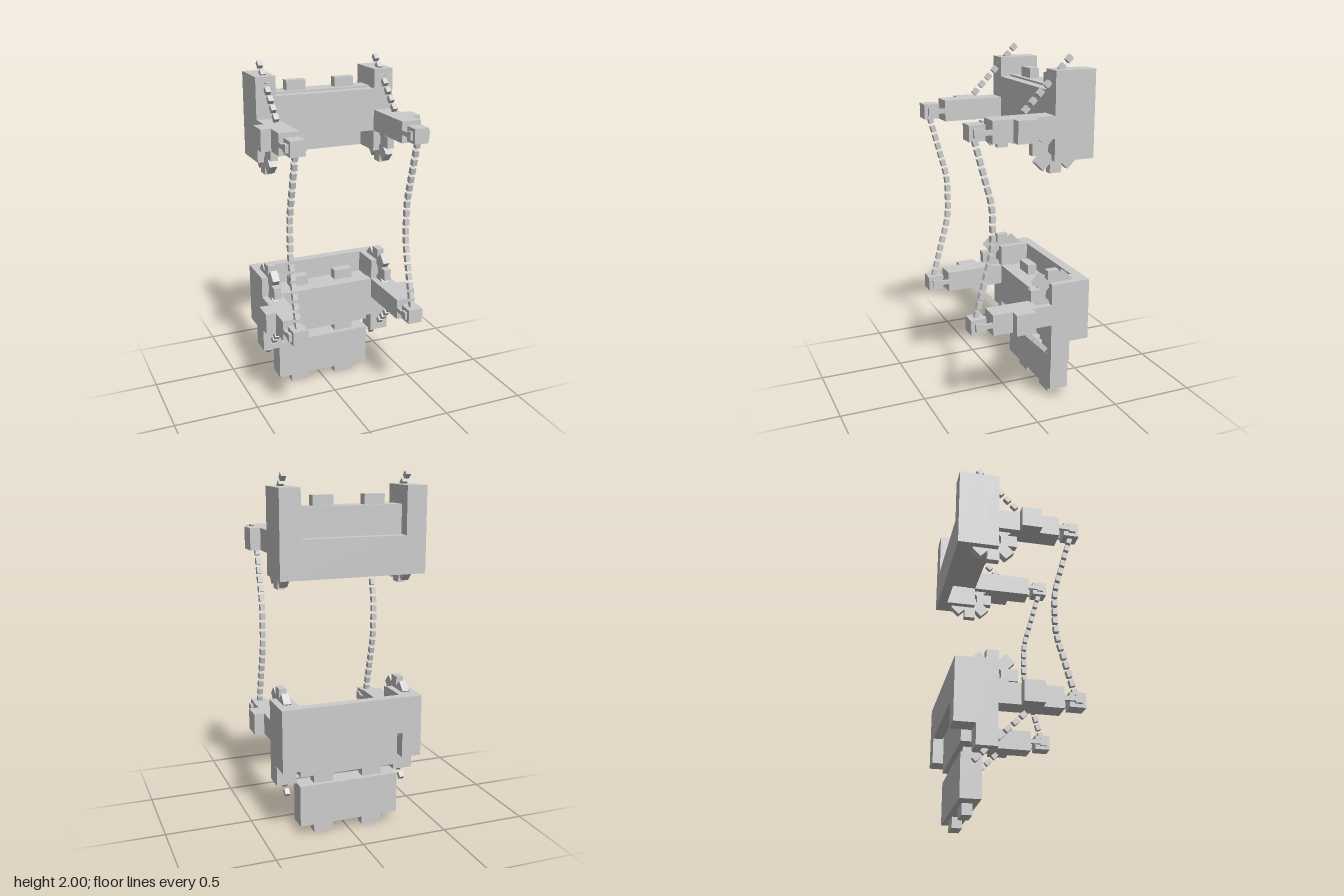
import * as THREE from 'three';

const material = new THREE.MeshStandardMaterial({ color: 0xcccccc, flatShading: true });
const MID = 1.115; // height of the plane between the two frames

// Box given by its limits on each axis
function box(parent, name, [x0, x1], [y0, y1], [z0, z1]) {
  const m = new THREE.Mesh(new THREE.BoxGeometry(x1 - x0, y1 - y0, z1 - z0), material);
  m.position.set((x0 + x1) / 2, (y0 + y1) / 2, (z0 + z1) / 2);
  m.name = name;
  parent.add(m);
}

// Heights given for the upper frame; the lower frame uses them mirrored
const flip = (upper, [a, b]) => (upper ? [a, b] : [2 * MID - b, 2 * MID - a]);
const side = (s, [a, b]) => (s > 0 ? [a, b] : [-b, -a]);

// Toothed wheel of eight overlapping radial blocks
function gear(y) {
  const g = new THREE.Group();
  g.name = 'gear';
  for (let i = 0; i < 8; i++) {
    const a = (i * Math.PI) / 4;
    const tooth = new THREE.Mesh(new THREE.BoxGeometry(0.042, 0.068, 0.09), material);
    tooth.position.set(0, -Math.sin(a) * 0.09, Math.cos(a) * 0.09);
    tooth.rotation.x = a;
    tooth.name = 'gearTooth';
    g.add(tooth);
  }
  g.position.set(0, y, -0.145);
  return g;
}

// Row of small blocks following a path of [z, y] points
function chain(name, points, count, length) {
  const g = new THREE.Group();
  g.name = name;
  const path = new THREE.CatmullRomCurve3(points.map(([z, y]) => new THREE.Vector3(0, y, z)));
  for (let i = 0; i < count; i++) {
    const u = i / (count - 1);
    const t = path.getTangentAt(u);
    const link = new THREE.Mesh(new THREE.BoxGeometry(0.028, 0.028, length), material);
    link.position.copy(path.getPointAt(u));
    link.rotation.x = Math.atan2(-t.y, t.z);
    link.name = 'chainLink';
    g.add(link);
  }
  return g;
}

// Sliding panel with pegs on the chosen edges
function panel(parent, y0, y1, pegRanges) {
  const g = new THREE.Group();
  g.name = 'slidingPanel';
  box(g, 'panelBoard', [-0.292, 0.292], [y0, y1], [-0.29, -0.178]);
  for (const range of pegRanges)
    for (const s of [1, -1]) box(g, 'panelPeg', side(s, [0.088, 0.203]), range, [-0.263, -0.207]);
  parent.add(g);
}

function frame(upper) {
  const g = new THREE.Group();
  g.name = upper ? 'upperFrame' : 'lowerFrame';
  const h = (a, b) => flip(upper, [a, b]);

  // Cross walls
  box(g, 'frontWall', [-0.295, 0.295], h(1.58, 1.82), [-0.18, -0.12]);
  box(g, 'backWall', [-0.295, 0.295], h(1.46, 1.67), [-0.35, -0.295]);

  for (const s of [1, -1]) {
    const w = side(s, [0.295, 0.41]);
    // Side posts; the lower ones are cut away at the bottom rear
    box(g, 'postFront', w, h(1.46, 1.93), [-0.235, -0.12]);
    box(g, 'postBack', w, h(1.46, upper ? 1.93 : 1.815), [-0.35, -0.235]);

    // Arms with an outer block
    box(g, 'arm', w, h(1.58, 1.7), [-0.12, 0.23]);
    box(g, 'armBlock', side(s, [0.41, 0.467]), h(1.58, 1.7), [0, 0.115]);

    // Fork and chain holder at the tip
    for (const p of [[0.295, 0.311], [0.392, 0.41]]) {
      box(g, 'forkBar', side(s, p), h(1.627, 1.653), [0.23, 0.29]);
      box(g, 'forkEnd', side(s, p), h(1.618, 1.662), [0.29, 0.328]);
    }
    box(g, 'chainHolder', side(s, [0.309, 0.393]), h(1.598, 1.682), [0.262, 0.35]);

    const wheel = gear(h(1.525, 1.525)[0]);
    wheel.position.x = s * 0.352;
    g.add(wheel);

    // Slanted chain running through the post
    const y = (v) => h(v, v)[0];
    const slanted = chain('slantedChain', [[0.021, y(1.733)], [-0.222, y(1.98)]], 7, 0.036);
    slanted.position.x = s * 0.35;
    g.add(slanted);
  }
  return g;
}

export function createModel() {
  const model = new THREE.Group();
  model.name = 'chainLift';
  const top = frame(true), bottom = frame(false);
  model.add(top, bottom);

  // Panels held in the frames and the one hanging below
  panel(top, 1.58, 1.83, [[1.83, 1.885]]);
  panel(bottom, 0.355, 0.645, [[0.645, 0.705]]);
  panel(model, 0.06, 0.298, [[0.298, 0.355], [0, 0.06]]);

  // Long hanging chains between the frames
  const hang = [[0.302, 1.585], [0.255, 1.41], [0.212, 1.24], [0.206, 1.115],
    [0.212, 0.99], [0.255, 0.82], [0.302, 0.645]];
  for (const s of [1, -1]) {
    const c = chain('hangingChain', hang, 19, 0.037);
    c.position.x = s * 0.35;
    model.add(c);
  }
  return model;
}
